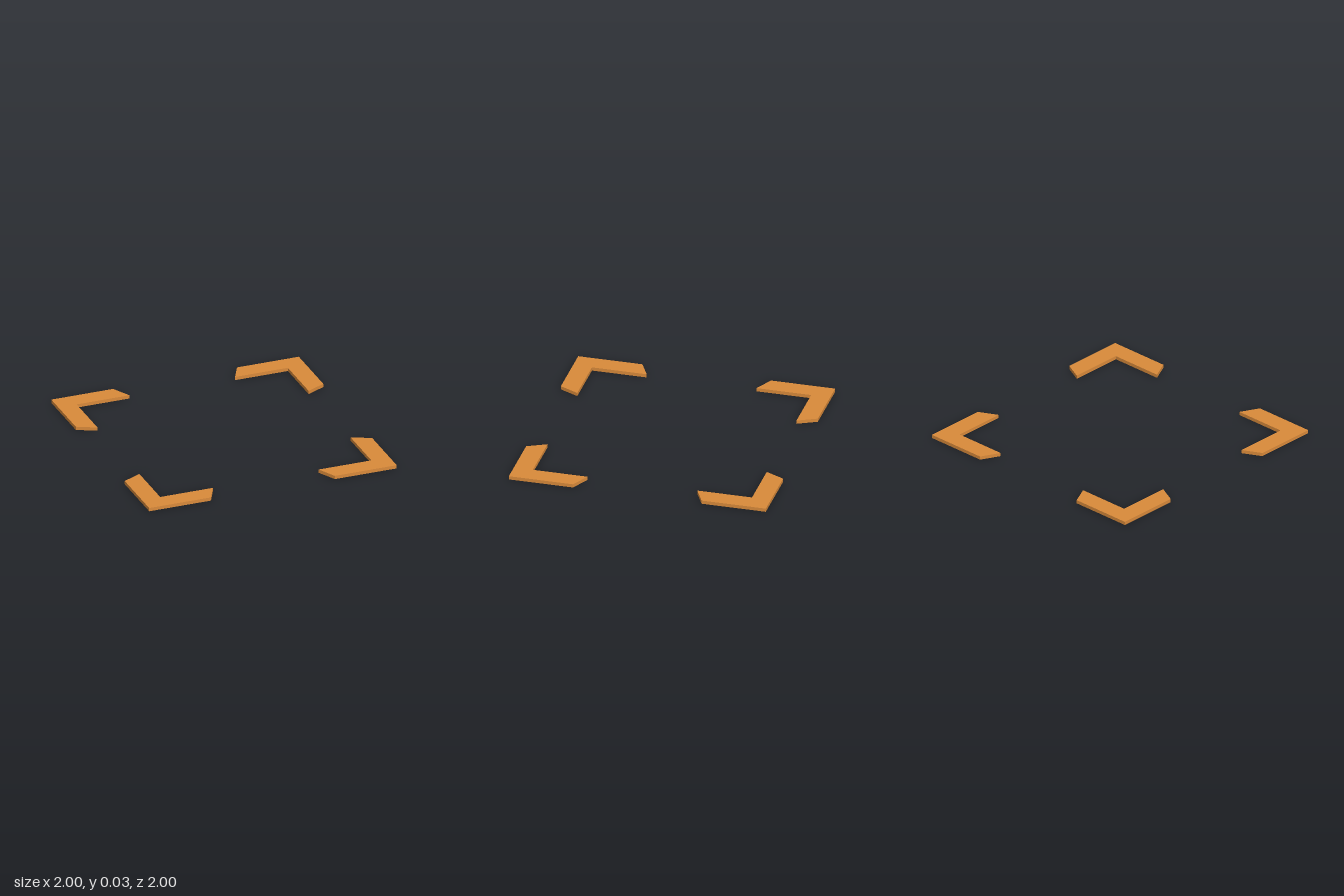
import * as THREE from 'three';

const OUTER = 1;       // outer edge of the square
const INNER = 0.853;   // inner edge of each arm
const END = 0.5;       // arm end on the outer edge
const TIP = 0.427;     // slanted arm end on the inner edge
const HEIGHT = 0.027;

export function createModel() {
  const group = new THREE.Group();
  group.name = 'cornerBrackets';

  const material = new THREE.MeshStandardMaterial({ color: 0xd98a3a });

  // L-shaped outline with slanted arm ends
  const outline = new THREE.Shape([
    [OUTER, OUTER], [END, OUTER], [TIP, INNER],
    [INNER, INNER], [INNER, TIP], [OUTER, END],
  ].map(([x, y]) => new THREE.Vector2(x, y)));

  // Flat plate lying on the ground
  const geometry = new THREE.ExtrudeGeometry(outline, { depth: HEIGHT, bevelEnabled: false });
  geometry.rotateX(-Math.PI / 2);

  // One bracket per corner, a quarter turn apart
  const names = ['backLeftBracket', 'backRightBracket', 'frontRightBracket', 'frontLeftBracket'];
  names.forEach((name, i) => {
    const bracket = new THREE.Mesh(geometry, material);
    bracket.name = name;
    bracket.rotation.y = i * Math.PI / 2;
    group.add(bracket);
  });

  return group;
}
